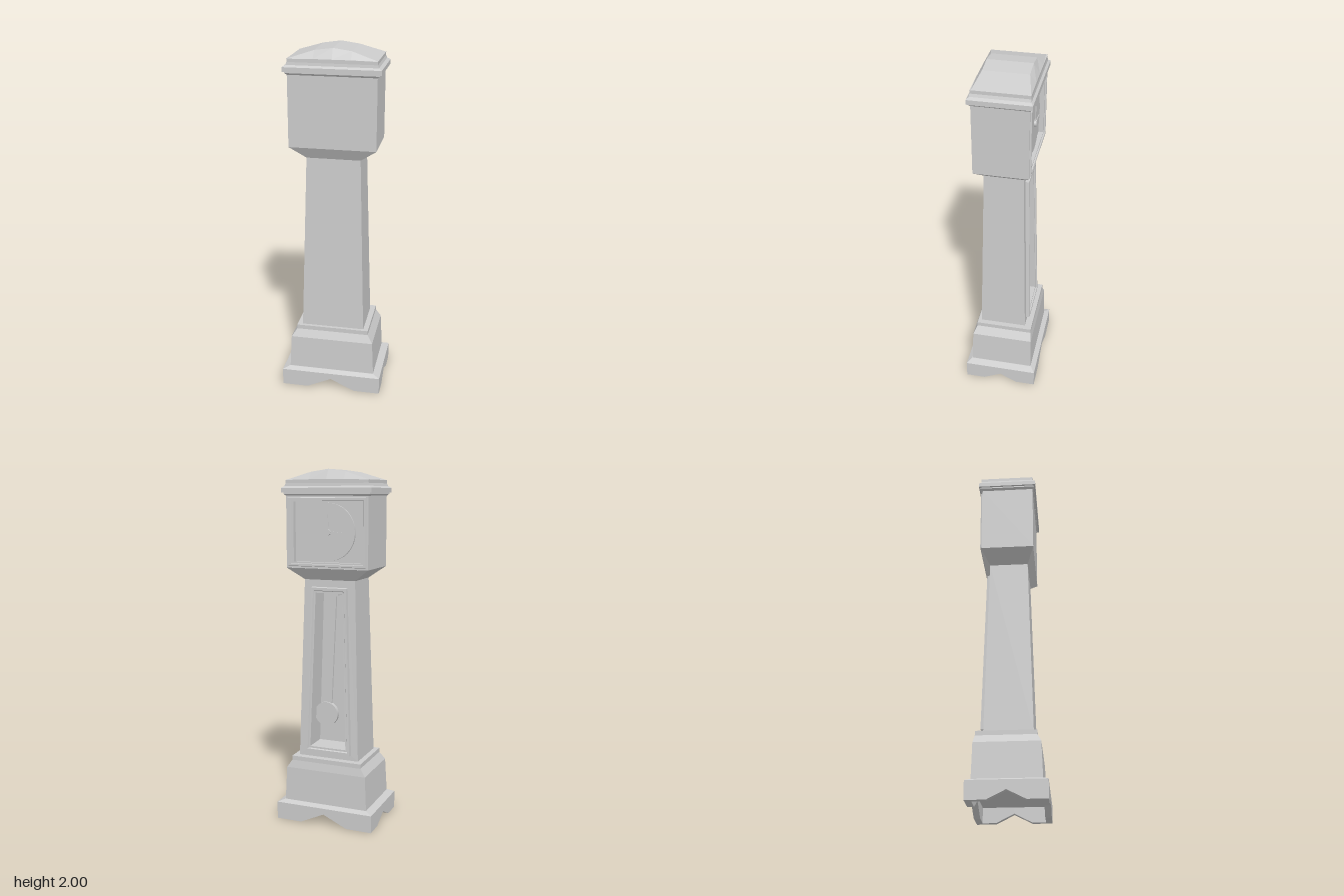
import * as THREE from 'three';

const grey = new THREE.MeshStandardMaterial({ color: 0xcccccc, flatShading: true });
const smooth = new THREE.MeshStandardMaterial({ color: 0xcccccc });

// Flat-sided skin over a list of rings (arrays of [x, y, z]), with optional end caps
function loft(rings, capStart = true, capEnd = true) {
  const pos = [];
  const tri = (a, b, c) => pos.push(...a, ...b, ...c);
  const n = rings[0].length;
  for (let r = 0; r + 1 < rings.length; r++) {
    const a = rings[r], b = rings[r + 1];
    for (let i = 0; i < n; i++) {
      const j = (i + 1) % n;
      tri(a[i], a[j], b[j]);
      tri(a[i], b[j], b[i]);
    }
  }
  const cap = (ring, flip) => {
    const c = [0, 1, 2].map(k => ring.reduce((s, p) => s + p[k], 0) / n);
    for (let i = 0; i < n; i++) {
      const j = (i + 1) % n;
      flip ? tri(c, ring[j], ring[i]) : tri(c, ring[i], ring[j]);
    }
  };
  if (capStart) cap(rings[0], true);
  if (capEnd) cap(rings[rings.length - 1], false);
  const g = new THREE.BufferGeometry();
  g.setAttribute('position', new THREE.Float32BufferAttribute(pos, 3));
  g.computeVertexNormals();
  return g;
}

// Level rectangle: height, half width, +z edge, -z edge
const level = ([y, hx, zp, zm]) => [[-hx, y, zp], [hx, y, zp], [hx, y, zm], [-hx, y, zm]];

// Upright trapezoid facing -z: bottom [y, half width, z], top [y, half width, z]
const upright = ([yb, hb, zb], [yt, ht, zt]) =>
  [[hb, yb, zb], [-hb, yb, zb], [-ht, yt, zt], [ht, yt, zt]];

// Level rectangle whose four sides rise to a point in the middle
function notched(y, hx, hz, rise) {
  const nx = 0.14, nz = 0.1, m = y + rise, k = y + rise * 0.77;
  return [
    [-hx, y, hz], [-nx, y, hz], [0, m, hz], [nx, y, hz],
    [hx, y, hz], [hx, y, nz], [hx, k, 0], [hx, y, -nz],
    [hx, y, -hz], [nx, y, -hz], [0, m, -hz], [-nx, y, -hz],
    [-hx, y, -hz], [-hx, y, -nz], [-hx, k, 0], [-hx, y, nz],
  ];
}

export function createModel() {
  const model = new THREE.Group();
  const add = (name, geometry, material = grey, parent = model) => {
    const mesh = new THREE.Mesh(geometry, material);
    mesh.name = name;
    parent.add(mesh);
    return mesh;
  };

  // Hollow plinth with pointed cut-outs between the feet
  add('plinth', loft([
    notched(0.085, 0.255, 0.175, 0),
    notched(0, 0.255, 0.175, 0.065),
    notched(0, 0.29, 0.21, 0.065),
    notched(0.1, 0.29, 0.21, 0),
    notched(0.115, 0.252, 0.184, 0),
  ]));

  // Base with a sloped shoulder and collar
  add('base', loft([
    [0.11, 0.25, 0.182, -0.182],
    [0.31, 0.24, 0.175, -0.178],
    [0.355, 0.21, 0.154, -0.17],
    [0.38, 0.21, 0.154, -0.17],
  ].map(level)));

  // Tapered trunk, moulded door frame and the recess behind it in one skin
  add('trunk', loft([
    upright([0.38, 0.18, 0.135], [1.4, 0.15, 0.11]),
    upright([0.38, 0.18, -0.13], [1.4, 0.15, -0.107]),
    upright([0.41, 0.138, -0.13], [1.36, 0.107, -0.108]),
    upright([0.413, 0.135, -0.15], [1.357, 0.104, -0.128]),
    upright([0.428, 0.122, -0.15], [1.342, 0.092, -0.128]),
    upright([0.432, 0.118, -0.141], [1.338, 0.088, -0.119]),
    upright([0.442, 0.108, -0.141], [1.328, 0.08, -0.119]),
    upright([0.442, 0.108, 0], [1.328, 0.08, 0]),
  ]));

  // Pendulum hanging in the recess, caught mid swing
  const pendulum = new THREE.Group();
  pendulum.name = 'pendulum';
  pendulum.position.set(0, 1.3, -0.05);
  pendulum.rotation.z = 0.059;
  model.add(pendulum);
  add('pendulumRod', loft([
    [-0.68, 0.027, 0.007, -0.007],
    [0.025, 0.018, 0.007, -0.007],
  ].map(level)), grey, pendulum);
  const bob = add('pendulumBob',
    new THREE.CylinderGeometry(0.07, 0.07, 0.025, 24).rotateX(Math.PI / 2), smooth, pendulum);
  bob.position.set(0, -0.68, -0.005);
  const bracket = add('pendulumBracket', new THREE.BoxGeometry(0.06, 0.02, 0.06));
  bracket.position.set(0, 1.318, -0.03);

  // Flared neck under the hood
  add('neck', loft([
    [1.4, 0.15, 0.11, -0.107],
    [1.465, 0.24, 0.148, -0.152],
  ].map(level)));

  // Hood with a moulded dial frame and shallow recess
  const hood = (inset, hx, z) => upright([1.465 + inset, hx, z], [1.86 - inset, hx, z]);
  add('hood', loft([
    hood(0, 0.24, 0.148),
    hood(0, 0.24, -0.15),
    hood(0.01, 0.23, -0.15),
    hood(0.013, 0.227, -0.158),
    hood(0.024, 0.214, -0.158),
    hood(0.026, 0.21, -0.15),
    hood(0.034, 0.197, -0.15),
    hood(0.034, 0.197, -0.122),
  ]));

  // Dial, hub and pointed hands
  const dial = new THREE.Group();
  dial.name = 'dial';
  dial.position.set(0, 1.663, -0.127);
  model.add(dial);
  const disc = (r, depth) =>
    new THREE.CylinderGeometry(r, r, depth, 32).rotateX(Math.PI / 2);
  add('dialPlate', disc(0.158, 0.012), smooth, dial);
  add('handHub', disc(0.018, 0.014), smooth, dial).position.z = -0.011;
  const hand = (name, length, angle) => {
    const mesh = add(name, loft([
      [0, 0.008, 0.002, -0.002],
      [length, 0.002, 0.002, -0.002],
    ].map(level)), grey, dial);
    mesh.position.z = -0.012;
    mesh.rotation.z = angle;
  };
  hand('hourHand', 0.095, 0);
  hand('minuteHand', 0.1, Math.PI / 2 + 0.05);

  // Stepped cornice
  add('cornice', loft([
    [1.858, 0.24, 0.148, -0.152],
    [1.868, 0.252, 0.156, -0.16],
    [1.875, 0.252, 0.156, -0.16],
    [1.875, 0.263, 0.165, -0.168],
    [1.9, 0.263, 0.165, -0.168],
    [1.91, 0.246, 0.152, -0.157],
    [1.925, 0.24, 0.15, -0.155],
  ].map(level)));

  // Shallow arched roof with sloping gables
  const gable = z => [
    [0.24, 1.915, z], [-0.24, 1.915, z], [-0.24, 1.942, z], [-0.1, 1.945, z],
    [0, 1.945, z], [0.1, 1.945, z], [0.24, 1.942, z],
  ];
  const arch = (outer, inner, base) => [
    [0.24, 1.915, base], [-0.24, 1.915, base], [-0.24, 1.943, outer], [-0.1, 1.986, inner],
    [0, 2, inner], [0.1, 1.986, inner], [0.24, 1.943, outer],
  ];
  add('roof', loft([
    gable(0.15),
    arch(0.143, 0.118, 0.15),
    arch(-0.147, -0.123, -0.155),
    gable(-0.155),
  ]));

  return model;
}
